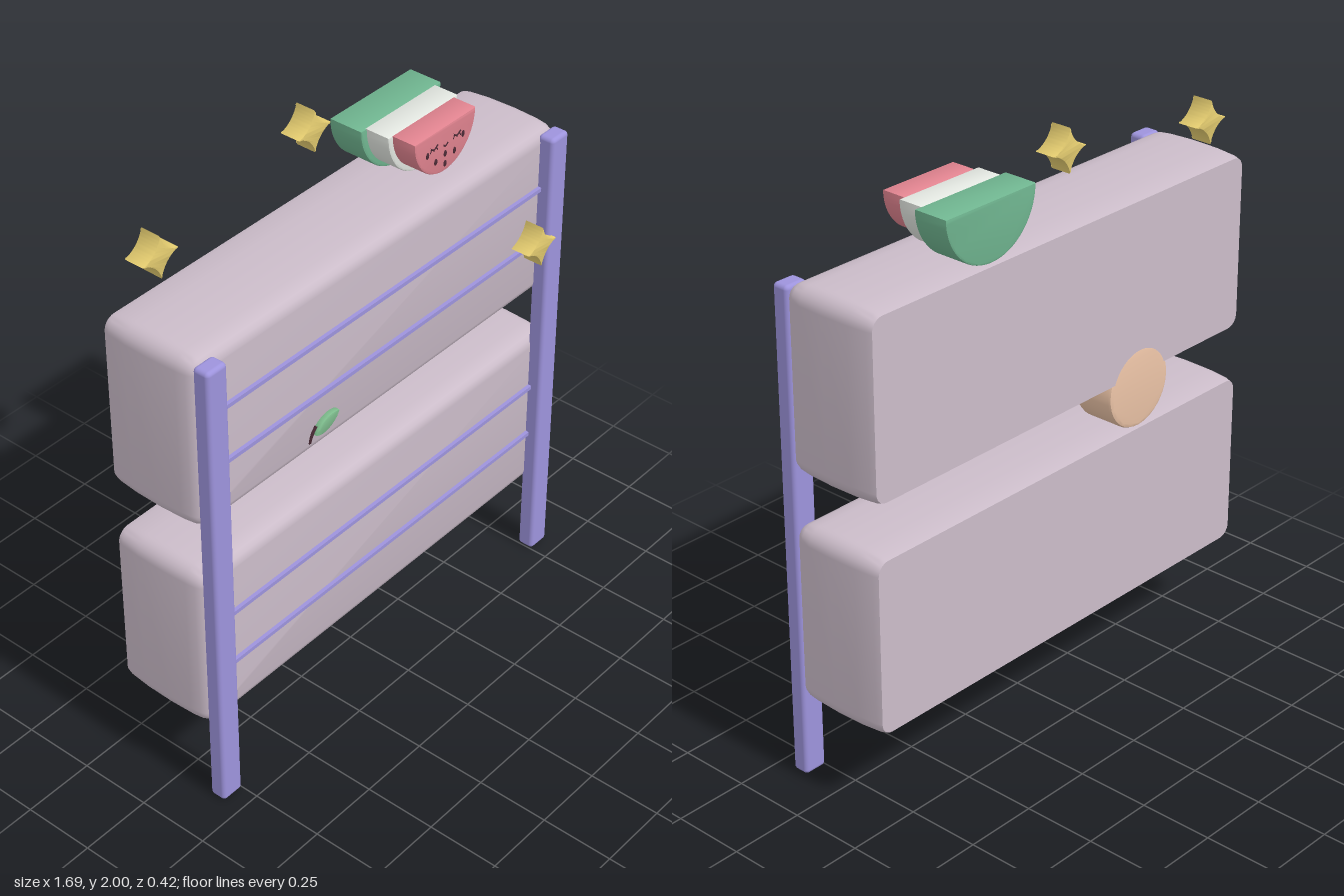
import * as THREE from 'three';
import { RoundedBoxGeometry } from 'three/addons/geometries/RoundedBoxGeometry.js';
import { toCreasedNormals } from 'three/addons/utils/BufferGeometryUtils.js';

const mat = (color) => new THREE.MeshStandardMaterial({ color, side: THREE.DoubleSide });
const M = {
  box: mat(0xcbbcc9), frame: mat(0x9d93dc), star: mat(0xe3cb6f), rind: mat(0x6fb48f),
  pith: mat(0xe2e6e0), flesh: mat(0xe0838f), peach: mat(0xebc3a6), blush: mat(0xeb9f97),
  leaf: mat(0x7dbb8c), dark: mat(0x4a2a35),
};

function add(group, name, geometry, material, x = 0, y = 0, z = 0) {
  const mesh = new THREE.Mesh(geometry, material);
  mesh.name = name;
  mesh.position.set(x, y, z);
  group.add(mesh);
  return mesh;
}

// Extrusion from z = 0 to z = depth with a small rounded edge
function slab(shape, depth, bevel = 0.006) {
  const g = new THREE.ExtrudeGeometry(shape, {
    depth: depth - 2 * bevel, bevelEnabled: bevel > 0, bevelThickness: bevel,
    bevelSize: bevel, bevelOffset: -bevel, bevelSegments: 2, curveSegments: 20,
  });
  g.translate(0, 0, bevel);
  return toCreasedNormals(g, 0.7);
}

// Soft box: rounded rectangles lofted along z with a slight bulge
function softBox(w, h) {
  const sections = [[-0.21, 0.014], [-0.19, 0.008], [-0.12, 0.002], [-0.02, 0], [0.07, 0.003],
    [0.105, 0.007], [0.122, 0.014], [0.134, 0.025], [0.14, 0.042]];
  const perCorner = 8, n = perCorner * 4, r = 0.055;
  const pos = [], idx = [];
  const ring = (z, inset) => {
    for (let i = 0; i < n; i++) {
      const q = Math.floor(i / perCorner);
      const a = (q + (i % perCorner) / (perCorner - 1)) * Math.PI / 2;
      const sx = q === 0 || q === 3 ? 1 : -1, sy = q < 2 ? 1 : -1;
      pos.push(sx * (w / 2 - r) + Math.cos(a) * (r - inset), sy * (h / 2 - r) + Math.sin(a) * (r - inset), z);
    }
  };
  sections.forEach(([z, inset]) => ring(z, inset));
  for (let s = 0; s < sections.length - 1; s++) {
    for (let i = 0; i < n; i++) {
      const a = s * n + i, b = s * n + (i + 1) % n;
      idx.push(a, b, b + n, a, b + n, a + n);
    }
  }
  const last = (sections.length - 1) * n;
  for (let i = 1; i < n - 1; i++) idx.push(0, i + 1, i, last, last + i, last + i + 1);
  const g = new THREE.BufferGeometry();
  g.setAttribute('position', new THREE.Float32BufferAttribute(pos, 3));
  g.setIndex(idx);
  return toCreasedNormals(g, 0.8);
}

// Four-pointed star with concave sides
function starShape(r) {
  const s = new THREE.Shape();
  s.moveTo(r, 0);
  for (let i = 0; i < 4; i++) {
    const a = (i + 0.5) * Math.PI / 2, b = (i + 1) * Math.PI / 2;
    s.quadraticCurveTo(Math.cos(a) * r * 0.32, Math.sin(a) * r * 0.32, Math.cos(b) * r, Math.sin(b) * r);
  }
  return s;
}

// Half disc hanging below its flat top
function sliceShape(rx, ry) {
  const s = new THREE.Shape();
  s.moveTo(-rx, 0);
  s.absellipse(0, 0, rx, ry, Math.PI, Math.PI * 2, false);
  s.closePath();
  return s;
}

// Pointed oval
function leafShape(l, h) {
  const s = new THREE.Shape();
  s.moveTo(-l, 0);
  s.bezierCurveTo(-l * 0.6, h, l * 0.5, h, l, 0);
  s.bezierCurveTo(l * 0.5, -h, -l * 0.6, -h, -l, 0);
  return s;
}

const tube = (points, r) => new THREE.TubeGeometry(
  new THREE.CatmullRomCurve3(points.map((p) => new THREE.Vector3(...p))), 16, r, 6);

// Closed eyes with lashes and a small smile
function face(spread) {
  const g = new THREE.Group();
  g.name = 'face';
  for (const side of [-1, 1]) {
    const x = side * spread;
    add(g, 'eyelid', tube([[x - 0.018, 0.004, 0], [x, -0.006, 0], [x + 0.018, 0.004, 0]], 0.003), M.dark);
    for (const k of [-1, 0, 1]) {
      add(g, 'eyelash', tube([[x + k * 0.012, -0.003, 0], [x + k * 0.018, -0.013, 0]], 0.002), M.dark);
    }
  }
  add(g, 'smile', tube([[-0.012, -0.01, 0], [0, -0.018, 0], [0.012, -0.01, 0]], 0.003), M.dark);
  return g;
}

export function createModel() {
  const model = new THREE.Group();

  // Two soft boxes with thin strips across their fronts
  for (const [name, y] of [['lowerBox', 0.592], ['upperBox', 1.377]]) {
    add(model, name, softBox(1.69, 0.62), M.box, 0, y);
    for (const dy of [-0.098, 0.098]) {
      add(model, 'strip', new THREE.BoxGeometry(1.52, 0.014, 0.02), M.frame, 0, y + dy, 0.143);
    }
  }

  // Front posts
  for (const side of [-1, 1]) {
    add(model, 'post', new RoundedBoxGeometry(0.083, 1.67, 0.06, 3, 0.014), M.frame, side * 0.792, 0.835, 0.16);
  }

  // Stars
  for (const [x, y, z] of [[-0.665, 1.83, -0.21], [0, 1.93, -0.21], [0.695, 1.31, 0.135]]) {
    add(model, 'star', slab(starShape(0.072), 0.075, 0.004), M.star, x, y, z);
  }

  // Watermelon slice in three stepped layers
  const melon = new THREE.Group();
  melon.name = 'watermelon';
  melon.position.set(0.34, 1.876, 0);
  add(melon, 'rind', slab(sliceShape(0.19, 0.192), 0.125), M.rind, 0, 0, -0.21);
  add(melon, 'pith', slab(sliceShape(0.165, 0.178), 0.095), M.pith, 0, 0, -0.095);
  add(melon, 'flesh', slab(sliceShape(0.146, 0.157), 0.09), M.flesh, 0, 0, -0.005);
  const melonFace = face(0.055);
  melonFace.position.set(0, -0.05, 0.085);
  melon.add(melonFace);
  for (const [x, y] of [[-0.085, -0.065], [0.085, -0.065], [-0.045, -0.105], [0.045, -0.105], [0, -0.095], [0, -0.13]]) {
    const seed = add(melon, 'seed', new THREE.SphereGeometry(0.01, 10, 8), M.dark, x, y, 0.084);
    seed.scale.set(0.8, 1.2, 0.4);
  }
  model.add(melon);

  // Peach tucked between the boxes
  const peach = new THREE.Group();
  peach.name = 'peach';
  peach.position.set(-0.342, 1.035, 0);
  const body = new THREE.Shape().absarc(0, 0, 0.14, 0, Math.PI * 2);
  add(peach, 'peachBody', slab(body, 0.15, 0.012), M.peach, 0, 0, -0.21);
  const blush = add(peach, 'blush', slab(leafShape(0.092, 0.045), 0.04, 0.004), M.blush, 0, -0.09, -0.062);
  blush.rotation.z = 0.2;
  const peachFace = face(0.05);
  peachFace.position.set(0.005, -0.025, -0.06);
  peach.add(peachFace);
  add(peach, 'stem', tube([[-0.018, -0.03, -0.058], [-0.018, 0.025, -0.045], [-0.014, 0.075, 0.135],
    [-0.006, 0.11, 0.143], [0.012, 0.135, 0.145]], 0.005), M.dark);
  const leaf = add(peach, 'leaf', slab(leafShape(0.056, 0.03), 0.022, 0.004), M.leaf, 0.052, 0.13, 0.138);
  leaf.rotation.z = 0.35;
  model.add(peach);

  return model;
}
